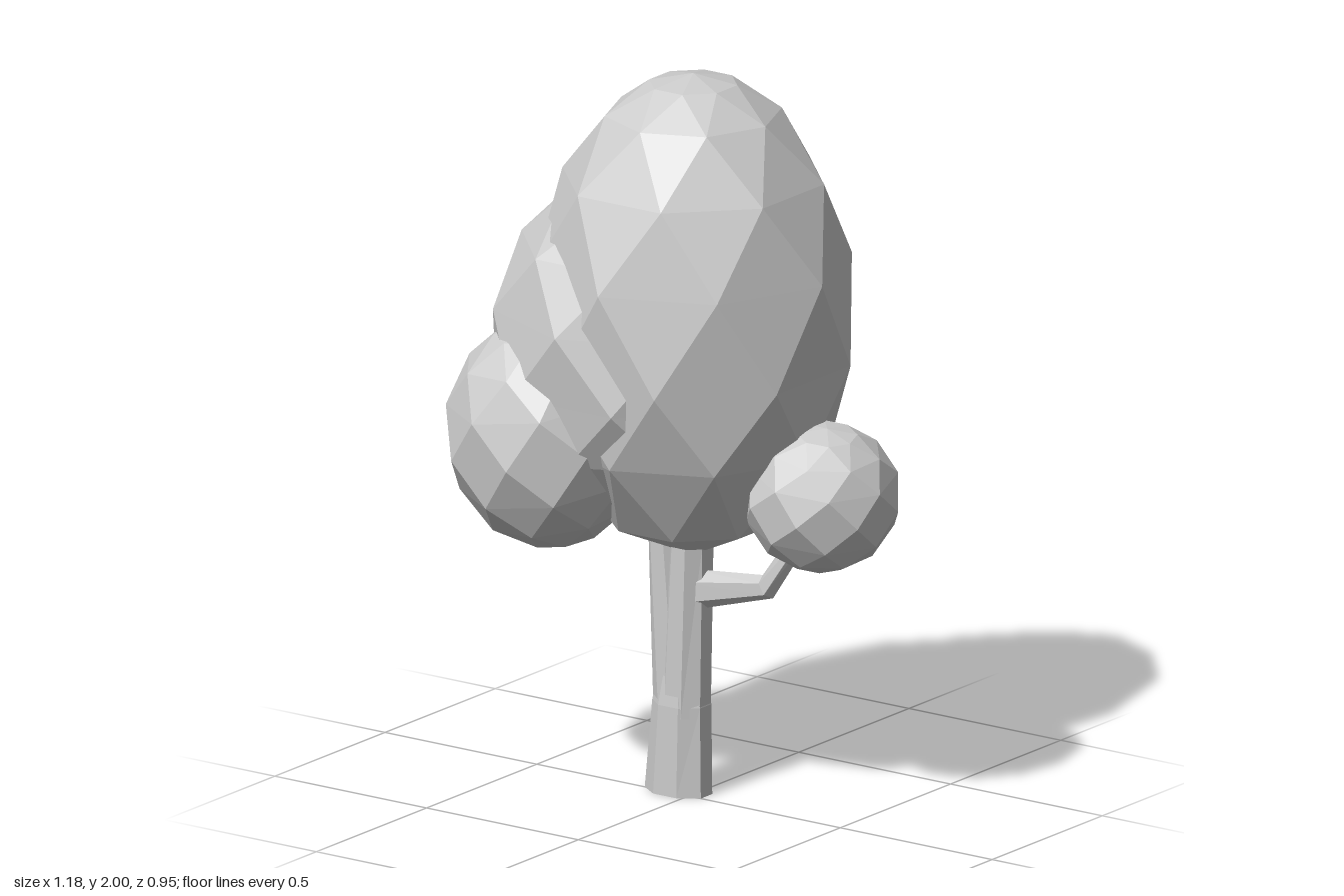
import * as THREE from 'three';

const material = new THREE.MeshStandardMaterial({ color: 0xcccccc, flatShading: true });
const SIDES = 8;
const EVEN_RINGS = [22.5, 45, 67.5, 90, 112.5, 135, 157.5];
const HIGH_RINGS = [16, 33, 55, 77, 100, 121, 148];

function meshFrom(name, points, index) {
  let geometry = new THREE.BufferGeometry().setFromPoints(points);
  geometry.setIndex(index);
  geometry = geometry.toNonIndexed();
  geometry.computeVertexNormals();
  const mesh = new THREE.Mesh(geometry, material);
  mesh.name = name;
  return mesh;
}

// Ball covered in diamond facets: staggered rings (angles from the top) between two poles
function foliage(name, center, radii, rings, spin = 0, tilt = [0, 0]) {
  const points = [new THREE.Vector3(0, 1, 0)];
  rings.forEach((degrees, r) => {
    const polar = THREE.MathUtils.degToRad(degrees);
    for (let i = 0; i < SIDES; i++) {
      const a = spin + ((i + (r + 1) / 2) / SIDES) * Math.PI * 2;
      points.push(new THREE.Vector3().setFromSphericalCoords(1, polar, a));
    }
  });
  points.push(new THREE.Vector3(0, -1, 0));
  const rows = rings.length + 1;
  const at = (r, i) => r === 0 ? 0 : r === rows ? points.length - 1 : 1 + (r - 1) * SIDES + (i % SIDES);
  const index = [];
  for (let r = 1; r < rows; r++) {
    for (let i = 0; i < SIDES; i++) {
      // each diamond folds outward along its left-right diagonal
      const top = at(r - 1, i + 1), left = at(r, i), right = at(r, i + 1), bottom = at(r + 1, i);
      index.push(top, left, right, left, bottom, right);
    }
  }
  const turn = new THREE.Euler(tilt[0], 0, tilt[1]);
  const scale = new THREE.Vector3(...radii);
  points.forEach(p => p.applyEuler(turn).multiply(scale));
  const mesh = meshFrom(name, points, index);
  mesh.position.set(...center);
  return mesh;
}

// Faceted limb through sections [x, y, z, radiusX, radiusZ, lean], with closed ends
function limb(name, sections, sides) {
  const points = [], index = [];
  for (const [x, y, z, rx, rz, lean = 0] of sections) {
    for (let i = 0; i < sides; i++) {
      const a = ((i + 0.5) / sides) * Math.PI * 2;
      const across = Math.sin(a) * rx;
      points.push(new THREE.Vector3(x + across * Math.cos(lean), y + across * Math.sin(lean), z + Math.cos(a) * rz));
    }
  }
  for (let s = 0; s < sections.length - 1; s++) {
    for (let i = 0; i < sides; i++) {
      const a = s * sides + i, b = s * sides + (i + 1) % sides;
      index.push(a, b, b + sides, a, b + sides, a + sides);
    }
  }
  const last = (sections.length - 1) * sides;
  for (let i = 1; i < sides - 1; i++) {
    index.push(0, i + 1, i, last, last + i, last + i + 1);
  }
  return meshFrom(name, points, index);
}

export function createModel() {
  const tree = new THREE.Group();
  tree.name = 'tree';

  // Trunk, forking into two stems that run up into the crown
  tree.add(limb('trunk', [
    [-0.052, 0, -0.026, 0.1, 0.068],
    [-0.041, 0.25, -0.026, 0.085, 0.068],
    [-0.036, 0.4, -0.026, 0.05, 0.05],
  ], 8));
  tree.add(limb('leftStem', [
    [-0.03, 0.22, -0.026, 0.072, 0.064],
    [-0.008, 0.7, -0.026, 0.057, 0.067],
    [0.0, 0.95, -0.026, 0.045, 0.055],
  ], 8));
  tree.add(limb('rightStem', [
    [-0.052, 0.22, -0.028, 0.073, 0.06],
    [-0.084, 0.7, -0.028, 0.055, 0.062],
    [-0.11, 0.95, -0.028, 0.04, 0.05],
  ], 8));

  // Side branch carrying the small ball of leaves
  tree.add(limb('sideBranch', [
    [0.0, 0.57, -0.027, 0.055, 0.045, -1.4],
    [0.24, 0.618, -0.03, 0.034, 0.036, -1.05],
    [0.36, 0.82, -0.07, 0.025, 0.025, -0.55],
  ], 6));

  // Crown
  tree.add(foliage('mainFoliage', [-0.015, 1.33, -0.042], [0.436, 0.67, 0.444], HIGH_RINGS));
  tree.add(foliage('rightFoliage', [-0.14, 1.235, -0.03], [0.433, 0.5, 0.456], HIGH_RINGS));
  tree.add(foliage('frontFoliage', [-0.315, 1.01, 0.195], [0.285, 0.318, 0.285], EVEN_RINGS, 0.2, [0.15, 0.1]));
  tree.add(foliage('branchFoliage', [0.38, 0.88, -0.083], [0.214, 0.204, 0.216], EVEN_RINGS, 0.3, [0.1, -0.15]));
  tree.add(foliage('lowerBackFoliage', [-0.215, 0.868, -0.165], [0.215, 0.212, 0.215], EVEN_RINGS, 0.1, [-0.1, 0.1]));
  return tree;
}
